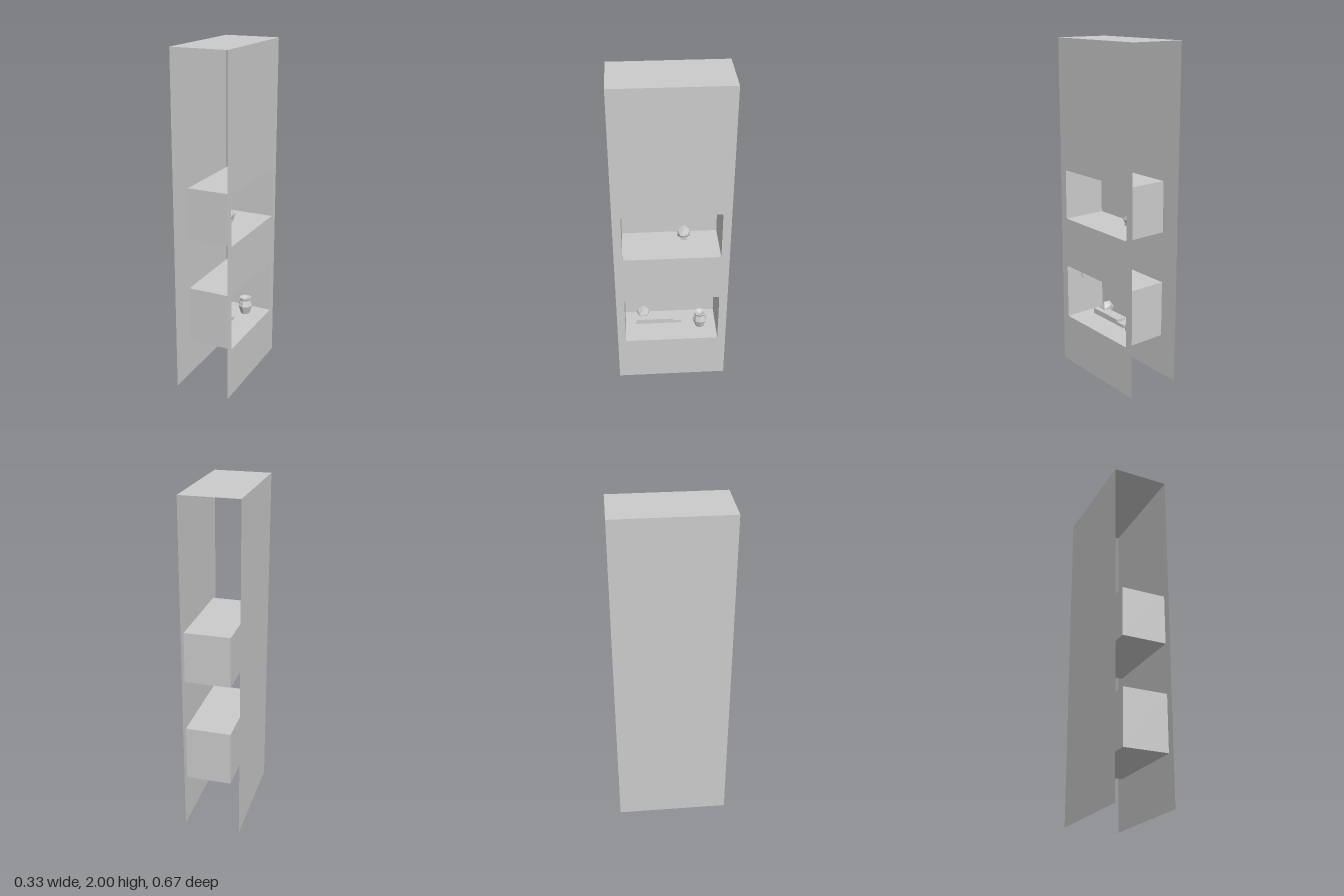
import * as THREE from 'three';

const sheet = new THREE.MeshStandardMaterial({ color: 0xcccccc, side: THREE.DoubleSide, flatShading: true });
const solid = new THREE.MeshStandardMaterial({ color: 0xcccccc, flatShading: true });

function add(parent, name, geometry, material, x = 0, y = 0, z = 0) {
  const mesh = new THREE.Mesh(geometry, material);
  mesh.name = name;
  mesh.position.set(x, y, z);
  parent.add(mesh);
  return mesh;
}

// Box that keeps only some faces: 0 +x, 1 -x, 2 +y, 3 -y, 4 +z, 5 -z
function openBox(w, h, d, faces) {
  const g = new THREE.BoxGeometry(w, h, d);
  const index = Array.from(g.index.array);
  g.setIndex(faces.flatMap((f) => index.slice(f * 6, f * 6 + 6)));
  g.clearGroups();
  return g;
}

// Niche opening with clipped corners and optional splinters hanging from its top edge
function opening(y0, y1, splinters) {
  const a = 0.284, c = 0.007;
  const pts = [[-a, y0 + c], [-a + c, y0], [a - c, y0], [a, y0 + c], [a, y1 - c], [a - c, y1]];
  for (const s of splinters) pts.push([s + 0.006, y1], [s + 0.004, y1 - 0.036], [s - 0.004, y1 - 0.034], [s - 0.006, y1]);
  pts.push([-a + c, y1], [-a, y1 - c]);
  return new THREE.Path(pts.map(([x, y]) => new THREE.Vector2(x, y)).reverse());
}

// Small faceted skull looking towards +x
function skull(name, x, y, z) {
  const g = new THREE.Group();
  g.name = name;
  add(g, 'cranium', new THREE.IcosahedronGeometry(0.043, 0), solid);
  for (const s of [-1, 1]) {
    add(g, 'eyeSocket', new THREE.BoxGeometry(0.008, 0.012, 0.014), solid, 0.034, 0.003, s * 0.014);
  }
  add(g, 'jaw', new THREE.BoxGeometry(0.03, 0.02, 0.036), solid, 0.015, -0.026, 0);
  g.position.set(x, y, z);
  return g;
}

export function createModel() {
  const model = new THREE.Group();
  model.name = 'nicheWall';
  const W = 0.333, H = 2, D = 0.667, X = W / 2;

  // Plain wall and roof
  add(model, 'plainWallAndRoof', openBox(W, H, D, [1, 2]), sheet, 0, H / 2, 0);

  // Wall with the two openings, drawn along -z and turned to face +x
  const wall = new THREE.Shape([[-D / 2, 0], [D / 2, 0], [D / 2, H], [-D / 2, H]].map((p) => new THREE.Vector2(...p)));
  const niches = [
    { name: 'lowerNiche', y0: 0.302, y1: 0.635, splinters: [0.083, -0.133] },
    { name: 'upperNiche', y0: 0.937, y1: 1.236, splinters: [] },
  ];
  for (const n of niches) wall.holes.push(opening(n.y0, n.y1, n.splinters));
  add(model, 'nicheFrontWall', new THREE.ShapeGeometry(wall).rotateY(Math.PI / 2), sheet, X);

  // Recessed boxes behind the openings
  const depth = X + 0.1;
  for (const n of niches) {
    add(model, n.name, openBox(depth, n.y1 - n.y0, 0.568, [1, 2, 3, 4, 5]), sheet, X - depth / 2, (n.y0 + n.y1) / 2, 0);
  }

  // Objects in the niches
  model.add(skull('upperSkull', -0.03, 0.98, -0.08));
  model.add(skull('lowerSkull', -0.05, 0.344, 0.17));
  add(model, 'lowerSlab', new THREE.BoxGeometry(0.065, 0.02, 0.292), solid, -0.018, 0.312, 0.074);
  add(model, 'upperSlab', new THREE.BoxGeometry(0.06, 0.018, 0.232), solid, -0.01, 0.331, 0.096);

  const profile = [[0, 0], [0.029, 0], [0.045, 0.053], [0.032, 0.09], [0.037, 0.105], [0.028, 0.105], [0, 0.09]];
  add(model, 'vase', new THREE.LatheGeometry(profile.map((p) => new THREE.Vector2(...p)), 8), sheet, 0.04, 0.302, -0.185);

  return model;
}
